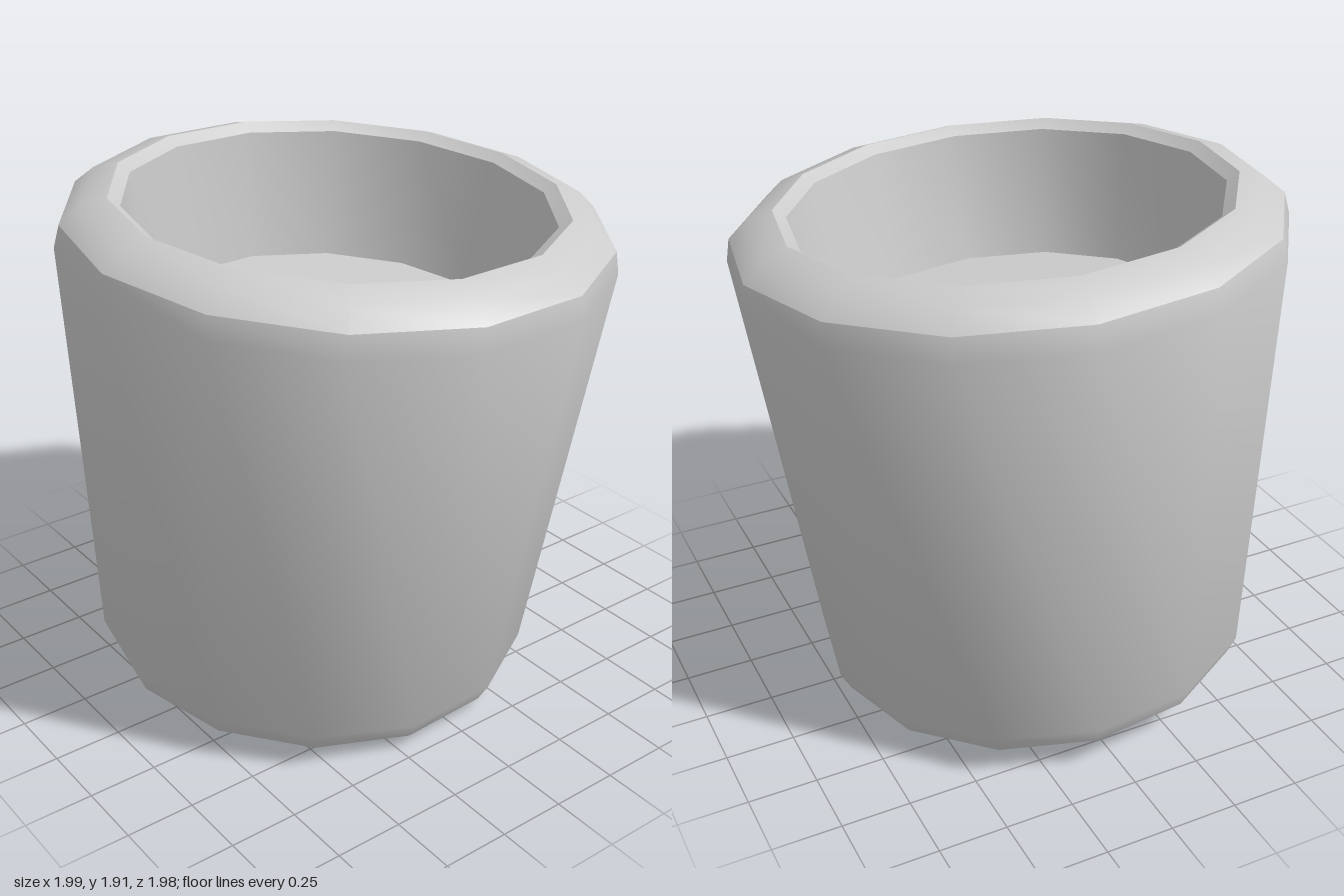
import * as THREE from 'three';
import { toCreasedNormals } from 'three/addons/utils/BufferGeometryUtils.js';

const SIDES = 14;
const deg = THREE.MathUtils.degToRad;

// Profile as [radius, height], from the base centre, over the rim, to the inner floor
const profile = [
  [0, 0], [0.71, 0], [0.8, 0.045], [0.835, 0.115],            // base with bevel
  [1.0, 1.64], [0.983, 1.72], [0.915, 1.78], [0.82, 1.81],    // outer wall and rounded rim
  [0.775, 1.78], [0.7, 1.3], [0, 1.3],                        // inner lip, inner wall, floor
];

export function createModel() {
  const group = new THREE.Group();
  group.name = 'cup';

  const points = profile.map(([r, y]) => new THREE.Vector2(r, y));
  let geometry = new THREE.LatheGeometry(points, SIDES, deg(45.4));

  // Slightly oval cross-section, long axis turned diagonally
  geometry.scale(1.023, 1, 0.978);
  geometry.rotateY(deg(48));

  // Gentle lean towards the front left
  geometry.rotateX(0.053);
  geometry.rotateZ(-0.041);
  geometry.translate(-0.067, 0.048, -0.087);
  geometry = toCreasedNormals(geometry, deg(35));

  // Stand on the ground and centre
  geometry.computeBoundingBox();
  const box = geometry.boundingBox;
  const centre = box.getCenter(new THREE.Vector3());
  geometry.translate(-centre.x, -box.min.y, -centre.z);

  const body = new THREE.Mesh(geometry, new THREE.MeshStandardMaterial({ color: 0xcccccc }));
  body.name = 'cupBody';
  group.add(body);
  return group;
}
